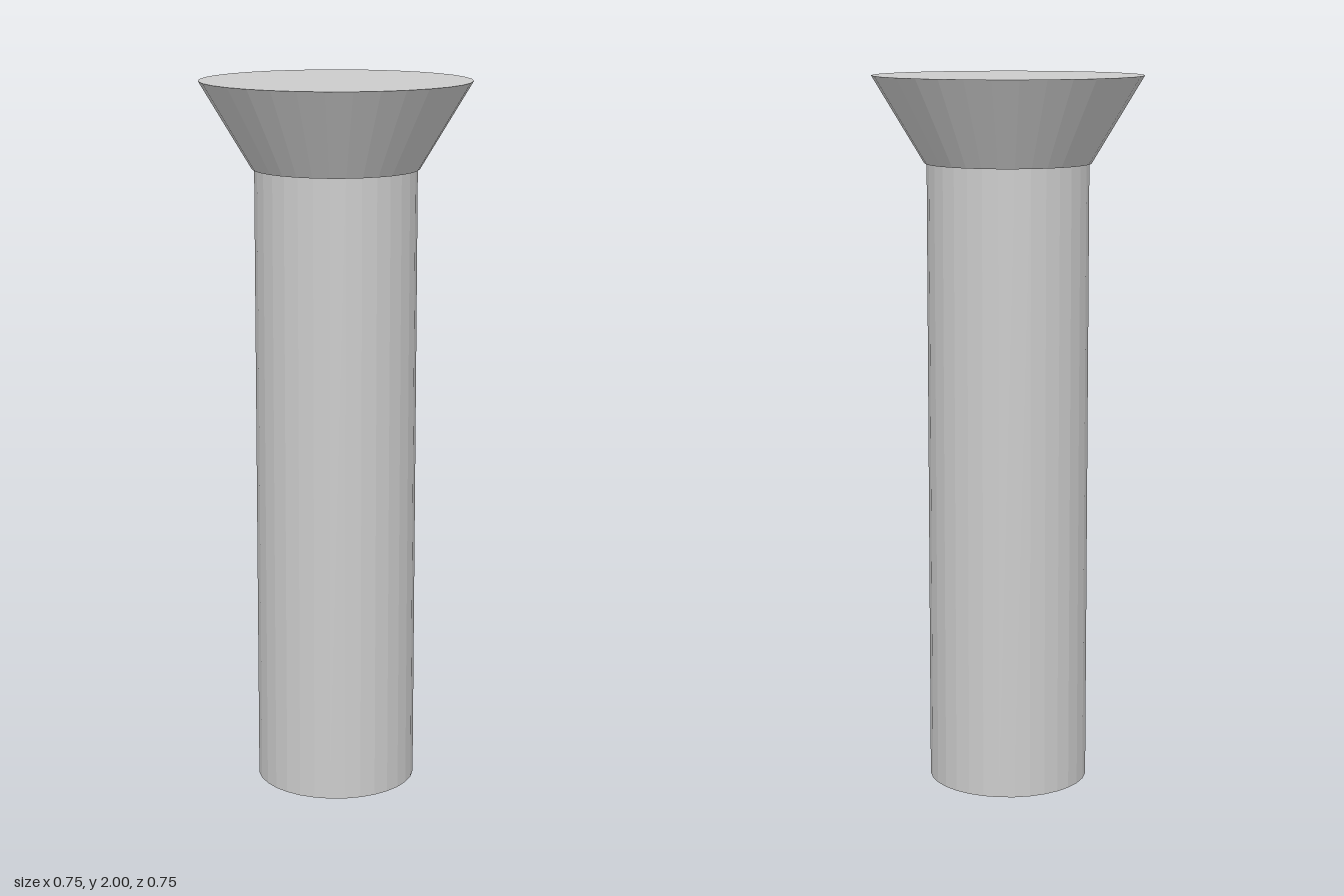
import * as THREE from 'three';

const SIDES = 32;
const SHAFT_HEIGHT = 1.76;
const TOTAL_HEIGHT = 2;

export function createModel() {
  const model = new THREE.Group();
  model.name = 'countersunkRivet';
  const material = new THREE.MeshStandardMaterial({ color: 0xcccccc, flatShading: true });

  // A closed, faceted cylinder or cone between two heights
  const addRound = (name, topRadius, bottomRadius, bottom, top) => {
    const geometry = new THREE.CylinderGeometry(topRadius, bottomRadius, top - bottom, SIDES);
    const mesh = new THREE.Mesh(geometry, material);
    mesh.name = name;
    mesh.position.y = (bottom + top) / 2;
    model.add(mesh);
  };

  // Straight shaft
  addRound('shaft', 0.225, 0.225, 0, SHAFT_HEIGHT);
  // Flared head, with a very narrow ledge over the shaft
  addRound('head', 0.375, 0.231, SHAFT_HEIGHT, TOTAL_HEIGHT);

  return model;
}
